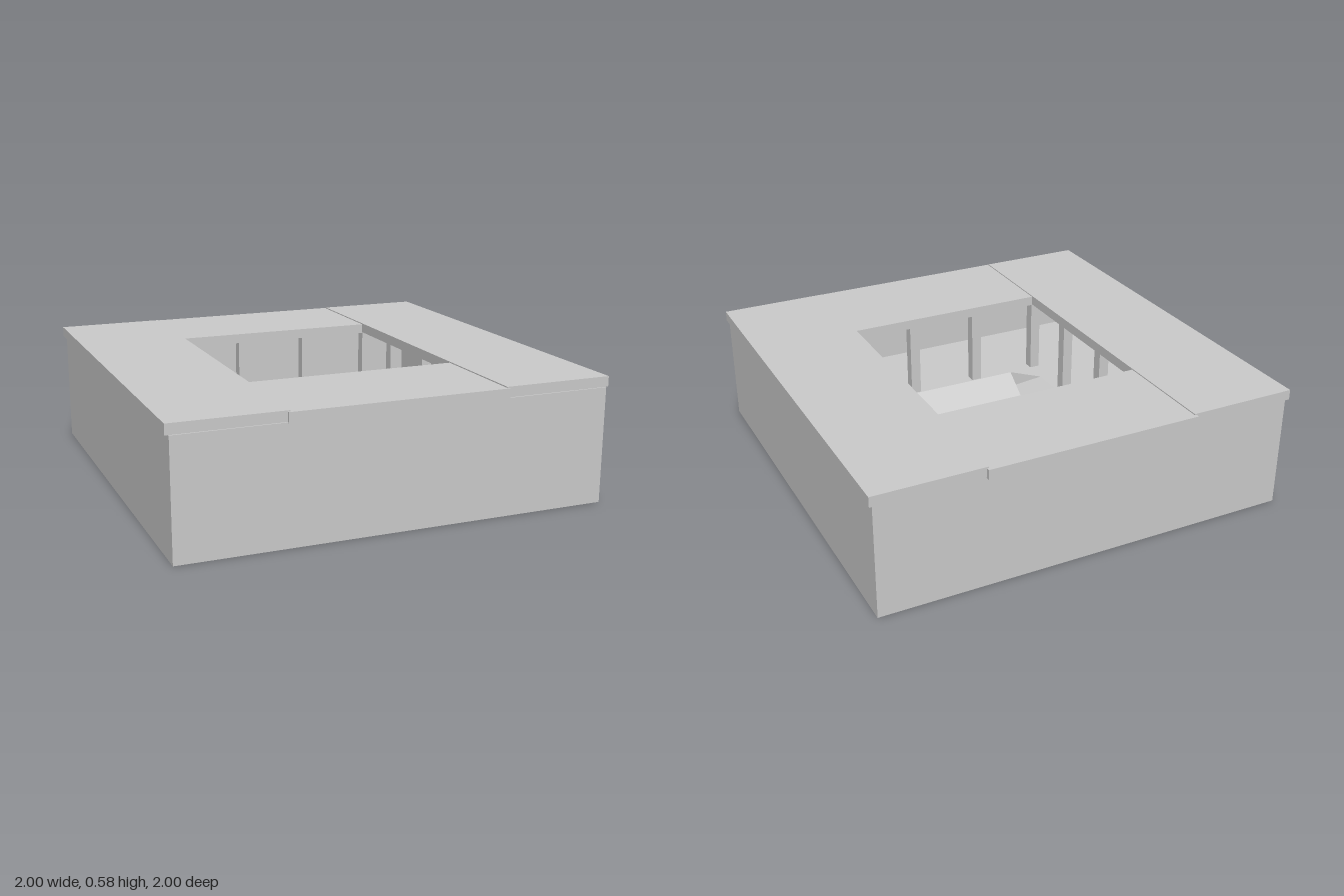
import * as THREE from 'three';

export function createModel() {
  const model = new THREE.Group();
  const stone = new THREE.MeshStandardMaterial({ color: 0xcccccc });
  stone.name = 'pale grey stone';
  stone.side = THREE.DoubleSide;

  const add = (name, geometry) => {
    const mesh = new THREE.Mesh(geometry, stone);
    mesh.name = name;
    model.add(mesh);
    return mesh;
  };
  // Box given by its limits on each axis
  const box = (name, x0, x1, y0, y1, z0, z1) => {
    const mesh = add(name, new THREE.BoxGeometry(x1 - x0, y1 - y0, z1 - z0));
    mesh.position.set((x0 + x1) / 2, (y0 + y1) / 2, (z0 + z1) / 2);
    return mesh;
  };

  const W = 0.985, BACK = -0.975, FRONT = 0.997; // outer wall limits
  const FLOOR = 0.155, EAVES = 0.53, POOL = 0.07;
  const OUT = 0.49, IN = 0.372; // pool rim and pool bottom half widths

  // Base block, with the pool opening cut through it (two corners clipped)
  const base = new THREE.Shape([
    [-W, -FRONT], [W, -FRONT], [W, -BACK], [-W, -BACK],
  ].map(([x, y]) => new THREE.Vector2(x, y)));
  base.holes.push(new THREE.Path([
    [-OUT, OUT], [IN, OUT], [OUT, IN], [OUT, -OUT], [-IN, -OUT], [-OUT, -IN],
  ].map(([x, y]) => new THREE.Vector2(x, y))));
  const baseGeometry = new THREE.ExtrudeGeometry(base, { depth: FLOOR, bevelEnabled: false });
  baseGeometry.rotateX(-Math.PI / 2);
  add('base', baseGeometry);

  // Pool bottom and its central slab
  box('poolBottom', -OUT, OUT, 0, POOL, -OUT, OUT);
  box('poolSlab', -0.25, 0.25, POOL, POOL + 0.008, -0.243, 0.255);

  // Sloping pool side: two rim points, then two bottom points, as [x, z]
  const slope = (name, a, b, c, d) => {
    const geometry = new THREE.BufferGeometry();
    const p = [a, b, c, d].map(([x, z], i) => [x, i < 2 ? FLOOR : POOL, z]);
    geometry.setAttribute('position', new THREE.Float32BufferAttribute(
      [p[0], p[2], p[1], p[0], p[3], p[2]].flat(), 3));
    geometry.computeVertexNormals();
    add(name, geometry);
  };
  slope('poolBackSlope', [IN, -OUT], [-OUT, -OUT], [-IN, -IN], [OUT, -IN]);
  slope('poolLeftSlope', [OUT, OUT], [OUT, -IN], [IN, -IN], [IN, IN]);
  slope('poolRightSlope', [-OUT, -OUT], [-OUT, IN], [-IN, OUT], [-IN, -IN]);
  slope('poolFrontSlope', [-IN, OUT], [OUT, OUT], [IN, IN], [-IN, IN]);

  // Outer walls
  const T = 0.03;
  for (const s of [-1, 1]) {
    const x = s * (W - T / 2);
    box(s > 0 ? 'leftWall' : 'rightWall', x - T / 2, x + T / 2, FLOOR, EAVES, BACK, FRONT);
  }
  box('backWall', -W + T, W - T, FLOOR, EAVES, BACK, BACK + T);
  box('frontWall', -W + T, W - T, FLOOR, EAVES, FRONT - T, FRONT);

  // Square columns, four to a side around the courtyard
  const R = 0.52, C = 0.025;
  for (let i = 0; i < 4; i++) {
    for (let j = 0; j < 4; j++) {
      if (i % 3 && j % 3) continue;
      const x = -R + (i * 2 * R) / 3, z = -R + (j * 2 * R) / 3;
      box('column', x - C, x + C, FLOOR, EAVES, z - C, z + C);
    }
  }

  // Flat roof slabs: long ones at the sides, slightly lower ones between
  box('leftRoof', 0.49, 1, EAVES, 0.577, -0.983, 0.99);
  box('rightRoof', -1, -0.49, EAVES, 0.577, -0.983, 0.99);
  box('backRoof', -0.5, 0.5, EAVES - 0.004, 0.572, -1, -0.488);
  box('frontRoof', -0.5, 0.5, EAVES - 0.004, 0.572, 0.482, 1);

  return model;
}
